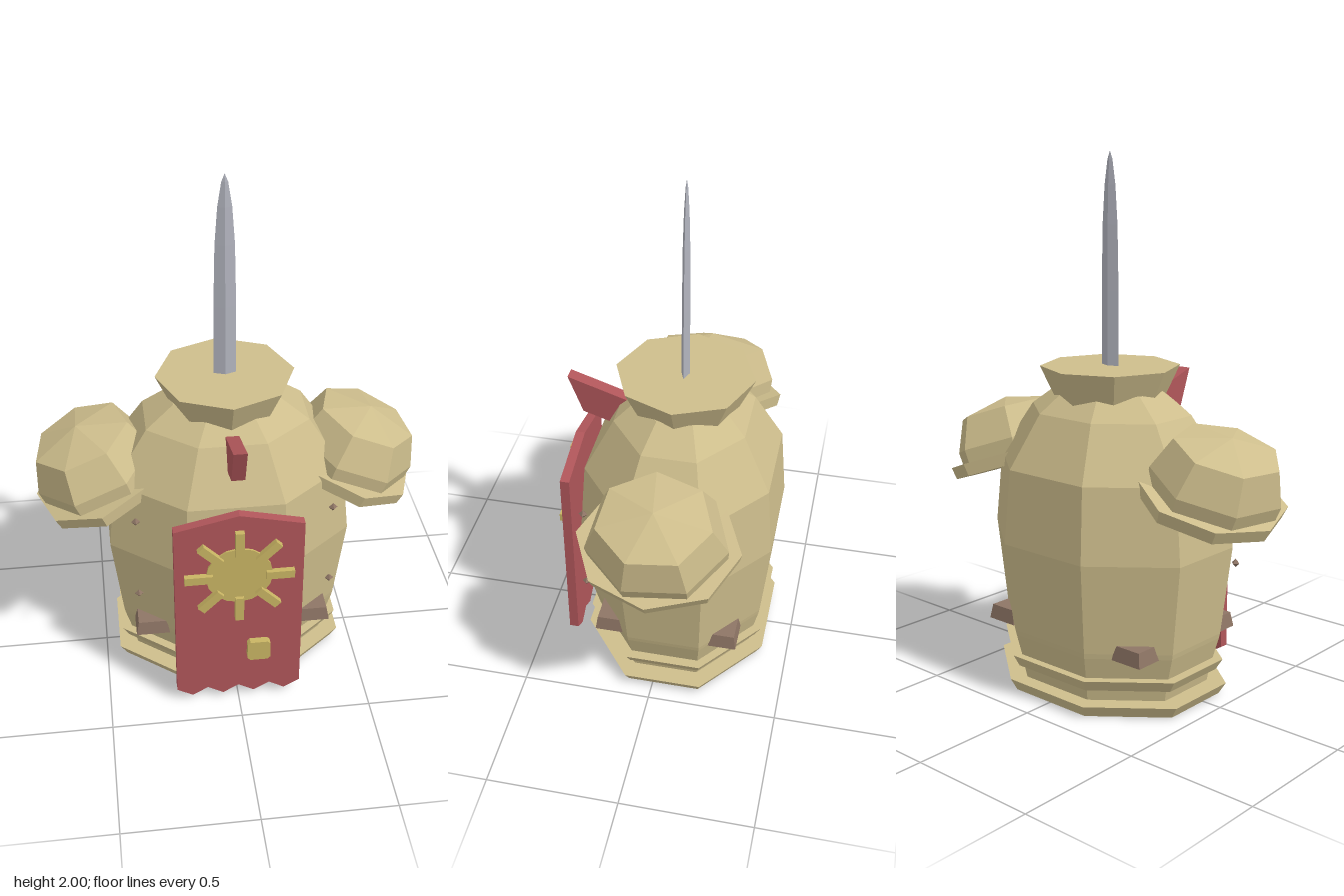
import * as THREE from 'three';

const mat = (name, color) => {
  const m = new THREE.MeshStandardMaterial({ color });
  m.name = name;
  return m;
};

// Faceted geometry: every face gets its own normal
function facet(geo) {
  const g = geo.index ? geo.toNonIndexed() : geo;
  g.computeVertexNormals();
  return g;
}

// Polygonal lathe from [radius, y] pairs, squashed in z
function turned(profile, sides, start, zScale) {
  const pts = profile.map(([r, y]) => new THREE.Vector2(r, y));
  const g = new THREE.LatheGeometry(pts, sides, start);
  return facet(g.scale(1, 1, zScale));
}

// Extruded outline centred on z = 0
function plate(points, depth) {
  const shape = new THREE.Shape(points.map(([x, y]) => new THREE.Vector2(x, y)));
  const g = new THREE.ExtrudeGeometry(shape, { depth, bevelEnabled: false });
  return facet(g.translate(0, 0, -depth / 2));
}

export function createModel() {
  const model = new THREE.Group();
  model.name = 'armouredTorso';
  const armour = mat('tan armour', 0xcdbd8c);
  const red = mat('red cloth', 0xb0565a);
  const gold = mat('gold', 0xc8b463);
  const brown = mat('brown leather', 0x8e7565);
  const steel = mat('steel', 0xb2b4be);

  function add(name, geo, material, x = 0, y = 0, z = 0, parent = model) {
    const mesh = new THREE.Mesh(geo, material);
    mesh.name = name;
    mesh.position.set(x, y, z);
    parent.add(mesh);
    return mesh;
  }

  const midZ = -0.043;
  const eighth = Math.PI / 8;
  // Profiles are given as half widths across the flats
  const octagonal = (profile) =>
    turned(profile.map(([a, y]) => [a / Math.cos(eighth), y]), 8, eighth, 0.804);

  // Barrel-shaped body with two flared rings at the hem
  add('body', octagonal([
    [0, 0.02], [0.37, 0.02], [0.385, 0.1], [0.418, 0.22], [0.422, 0.24], [0.462, 0.58],
    [0.435, 0.86], [0.305, 1.06], [0.2, 1.14], [0, 1.14],
  ]), armour, 0, 0, midZ);
  add('lowerHemRing', octagonal([[0, 0], [0.42, 0], [0.447, 0.045], [0, 0.045]]), armour, 0, 0, midZ);
  add('upperHemRing', octagonal([[0, 0.095], [0.408, 0.095], [0.433, 0.138], [0, 0.138]]), armour, 0, 0, midZ);

  // Collar and the blade standing in it
  add('collar', turned([[0, 1.07], [0.188, 1.07], [0.26, 1.225], [0, 1.225]], 8, 0, 1), armour, 0, 0, midZ);
  add('blade', turned([
    [0.042, 1.2], [0.041, 1.5], [0.036, 1.74], [0.026, 1.88], [0.012, 1.97], [0, 2],
  ], 4, 0, 0.37), steel, 0, 0, midZ);

  // Shoulder guards, tilted outward
  for (const s of [1, -1]) {
    const guard = new THREE.Group();
    guard.name = s > 0 ? 'leftShoulderGuard' : 'rightShoulderGuard';
    guard.position.set(s * 0.47, 0.777, midZ);
    guard.rotation.z = -s * THREE.MathUtils.degToRad(20);
    model.add(guard);
    add('shoulderRim', turned([[0, 0], [0.25, 0], [0.258, 0.048], [0, 0.048]], 8, 0, 1.17),
      armour, 0, 0, 0, guard);
    add('shoulderDome', turned([[0.232, 0.03], [0.238, 0.1], [0.19, 0.225], [0, 0.272]],
      7, s * THREE.MathUtils.degToRad(72), 1.1), armour, 0, 0, 0, guard);
  }

  // Hanging banner with pointed top and toothed hem
  const outline = [[0.24, 0.83], [0, 0.885], [-0.24, 0.83]];
  for (let i = 0; i <= 8; i++) outline.push([-0.24 + i * 0.06, i % 2 ? 0.02 : 0.055]);
  add('banner', plate(outline, 0.036), red, 0, 0, 0.37);

  // Sun emblem
  const sun = new THREE.Group();
  sun.name = 'sunEmblem';
  sun.position.set(0, 0.615, 0.388);
  model.add(sun);
  add('sunDisc', facet(new THREE.CylinderGeometry(0.125, 0.125, 0.012, 16).rotateX(Math.PI / 2)),
    gold, 0, 0, 0.002, sun);
  for (let i = 0; i < 8; i++) {
    const a = i * Math.PI / 4;
    const ray = add('sunRay', facet(new THREE.BoxGeometry(0.105, 0.033, 0.024)), gold,
      0.152 * Math.cos(a), 0.152 * Math.sin(a), 0.01, sun);
    ray.rotation.z = a;
  }

  // Square clasp with clipped corners
  const h = 0.044, c = 0.033;
  add('clasp', plate([[h, -c], [h, c], [c, h], [-c, h], [-h, c], [-h, -c], [-c, -h], [c, -h]], 0.032),
    gold, 0.075, 0.25, 0.399);

  // Slanted chest tab, outlined in side profile
  const tab = plate([[-0.4, 1.16], [-0.345, 1.01], [-0.15, 0.945], [-0.1, 1.06]], 0.05);
  add('chestTab', tab.rotateY(Math.PI / 2), red);

  // Belt blocks, narrower at the top
  const block = new THREE.BoxGeometry(0.13, 0.055, 0.108);
  const p = block.attributes.position;
  for (let i = 0; i < p.count; i++) {
    if (p.getY(i) > 0) p.setXYZ(i, p.getX(i) * 0.85, p.getY(i), p.getZ(i) * 0.85);
  }
  const blockGeo = facet(block);
  const stud = facet(new THREE.OctahedronGeometry(0.017));
  for (const s of [1, -1]) {
    for (const z of [0.182, -0.266]) add('beltBlock', blockGeo, brown, s * 0.317, 0.246, z);
    // Small studs beside the banner
    for (const y of [0.8, 0.46]) add('stud', stud, brown, s * 0.366, y, 0.265);
  }

  return model;
}
